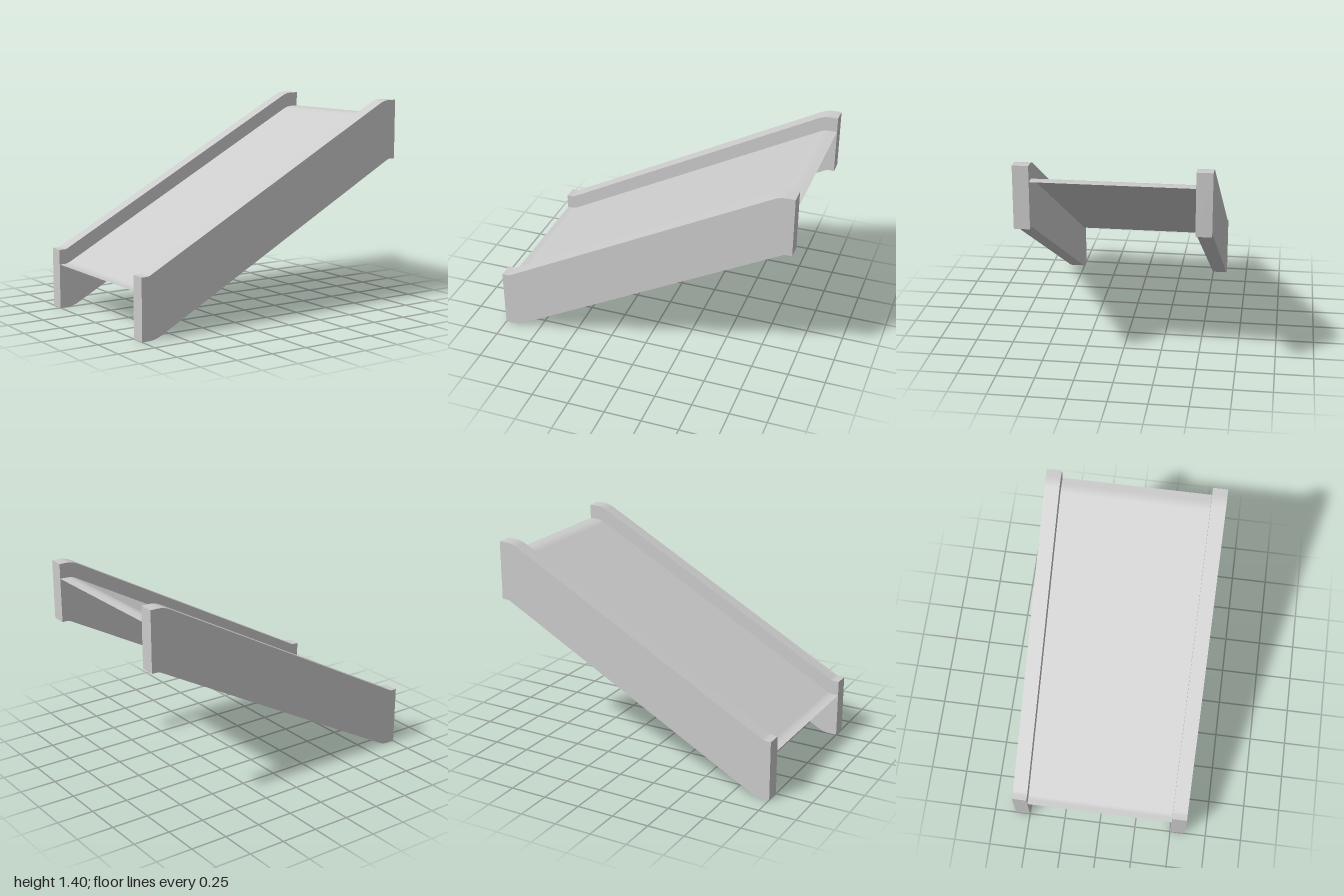
import * as THREE from 'three';
import { toCreasedNormals } from 'three/addons/utils/BufferGeometryUtils.js';

const SLOPE = 0.5385;

// Line that runs level, bends up the slope and levels off again.
// xa, xb: corner positions; a, b: half lengths of the two rounded bends.
function profile(xa, xb, y0, a, b) {
  const y1 = y0 + 1;
  const path = new THREE.CurvePath();
  const v = (x, y) => new THREE.Vector2(x, y);
  const c = 1 / Math.hypot(1, SLOPE);
  const bends = [
    new THREE.QuadraticBezierCurve(v(xa - a, y0), v(xa, y0), v(xa + a * c, y0 + a * c * SLOPE)),
    new THREE.QuadraticBezierCurve(v(xb - b * c, y1 - b * c * SLOPE), v(xb, y1), v(xb + b, y1)),
  ];
  return [v(-1, y0), ...bends[0].getPoints(8), ...bends[1].getPoints(8), v(1, y1)];
}

export function createModel() {
  const group = new THREE.Group();
  const material = new THREE.MeshStandardMaterial({ color: 0xcccccc });

  // Side panels: the lower edge is the upper edge turned half a turn
  const upper = profile(-0.951, 0.906, 0.4, 0.018, 0.045);
  const lower = upper.map((p) => new THREE.Vector2(-p.x, 1.4 - p.y));
  const outline = new THREE.Shape([...lower.reverse(), ...upper.reverse()]);
  const panel = toCreasedNormals(
    new THREE.ExtrudeGeometry(outline, { depth: 0.1, bevelEnabled: false }), 0.5);
  for (const [name, z] of [['frontSidePanel', 0.5], ['backSidePanel', -0.6]]) {
    const mesh = new THREE.Mesh(panel, material);
    mesh.name = name;
    mesh.position.z = z;
    group.add(mesh);
  }

  // Thin sloping bed between the panels
  const line = profile(-0.943, 0.914, 0.3, 0.025, 0.04);
  const bedGeometry = new THREE.PlaneGeometry(2, 1, line.length - 1, 1).rotateX(-Math.PI / 2);
  const position = bedGeometry.attributes.position;
  for (let i = 0; i < position.count; i++) {
    const p = line[i % line.length];
    position.setXY(i, p.x, p.y);
  }
  bedGeometry.computeVertexNormals();
  const bed = new THREE.Mesh(bedGeometry,
    new THREE.MeshStandardMaterial({ color: 0xcccccc, side: THREE.DoubleSide }));
  bed.name = 'slopingBed';
  group.add(bed);

  return group;
}
